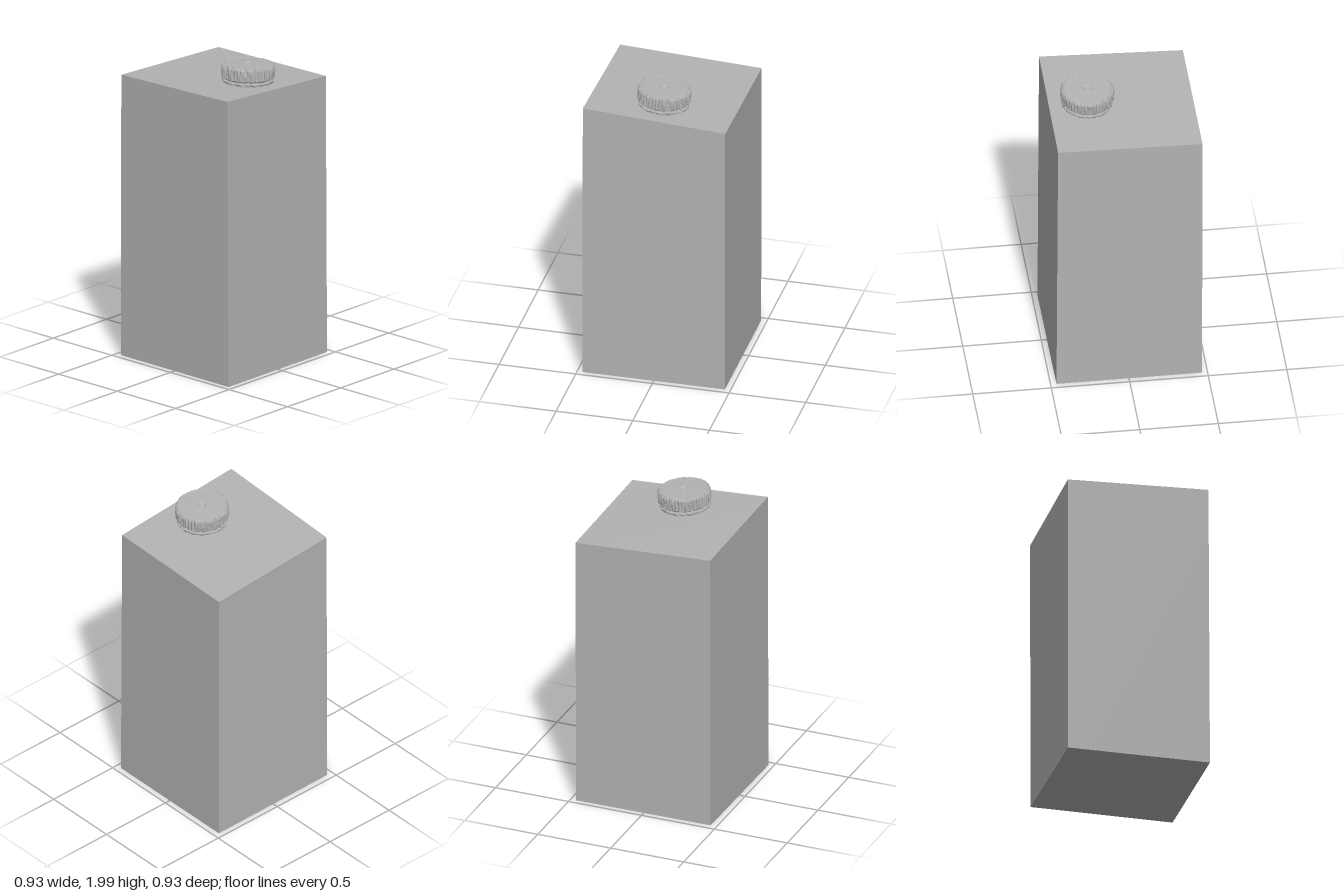
import * as THREE from 'three';

const cartonGrey = new THREE.MeshStandardMaterial({ color: 0xb3b3b3 });
cartonGrey.name = 'carton grey';

// Small seeded noise in the range -1..1
function makeNoise(seed) {
  return () => {
    seed = (seed * 16807) % 2147483647;
    return (seed / 2147483647) * 2 - 1;
  };
}

function addPart(parent, name, geometry) {
  const mesh = new THREE.Mesh(geometry, cartonGrey);
  mesh.name = name;
  parent.add(mesh);
  return mesh;
}

// Four-sided carton whose upper corners are slightly uneven
function cartonGeometry() {
  const corners = {
    '-1,-1,1': [-0.465, 0, 0.465], '1,-1,1': [0.463, 0, 0.462],
    '-1,-1,-1': [-0.458, 0, -0.46], '1,-1,-1': [0.463, 0, -0.465],
    '-1,1,1': [-0.465, 1.9, 0.455], '1,1,1': [0.463, 1.84, 0.452],
    '-1,1,-1': [-0.455, 1.87, -0.46], '1,1,-1': [0.465, 1.822, -0.468],
  };
  const geometry = new THREE.BoxGeometry(2, 2, 2);
  const p = geometry.attributes.position;
  for (let i = 0; i < p.count; i++) {
    p.setXYZ(i, ...corners[[p.getX(i), p.getY(i), p.getZ(i)].join()]);
  }
  geometry.computeVertexNormals();
  return geometry;
}

// Revolved profile with alternating ribs and a little roughness on its rim
function ribbedGeometry(profile, segments, rib, rough, seed) {
  const noise = makeNoise(seed);
  const points = profile.map(([r, y]) => new THREE.Vector2(r, y));
  const indexed = new THREE.LatheGeometry(points, segments);
  const p = indexed.attributes.position;
  const n = points.length;
  for (let s = 0; s < segments; s++) {
    for (let j = 0; j < n; j++) {
      const i = s * n + j;
      const r = points[j].x;
      if (r < 0.155) continue;
      const k = (r + (s % 2 ? rib : -rib) + noise() * rough) / r;
      p.setXYZ(i, p.getX(i) * k, p.getY(i) + noise() * rough * 0.5, p.getZ(i) * k);
    }
  }
  // Close the seam
  for (let j = 0; j < n; j++) {
    p.setXYZ(segments * n + j, p.getX(j), p.getY(j), p.getZ(j));
  }
  const geometry = indexed.toNonIndexed();
  geometry.computeVertexNormals();
  return geometry;
}

export function createModel() {
  const model = new THREE.Group();
  model.name = 'drinkCarton';
  addPart(model, 'cartonBody', cartonGeometry());

  // Screw cap, standing square on the sloping top
  const cap = new THREE.Group();
  cap.name = 'screwCap';
  cap.position.set(-0.002, 1.864, 0.21);
  const slope = new THREE.Vector3(0.06, 1, -0.028).normalize();
  cap.quaternion.setFromUnitVectors(new THREE.Vector3(0, 1, 0), slope);
  model.add(cap);

  // Pouring neck
  addPart(cap, 'neck', new THREE.CylinderGeometry(0.14, 0.14, 0.05, 48, 1, true)).position.y = 0.02;

  // Tamper ring
  addPart(cap, 'tamperRing', ribbedGeometry(
    [[0.138, 0.004], [0.16, 0.004], [0.163, 0.018], [0.138, 0.02]], 48, 0, 0.004, 11));

  // Ribbed side wall, rolled over the rim to the shallow top
  addPart(cap, 'capWall', ribbedGeometry(
    [[0.138, 0.033], [0.158, 0.031], [0.166, 0.038], [0.167, 0.075], [0.166, 0.106],
      [0.159, 0.119], [0.152, 0.12], [0.149, 0.117]], 96, 0.003, 0.0035, 23));

  // Cap top with a small round dimple in the centre
  const disc = [[0.152, 0.117], [0.03, 0.12], [0.027, 0.123], [0.019, 0.116], [0, 0.116]];
  const top = new THREE.LatheGeometry(disc.map(([r, y]) => new THREE.Vector2(r, y)), 64).toNonIndexed();
  top.computeVertexNormals();
  addPart(cap, 'capTop', top);

  return model;
}
